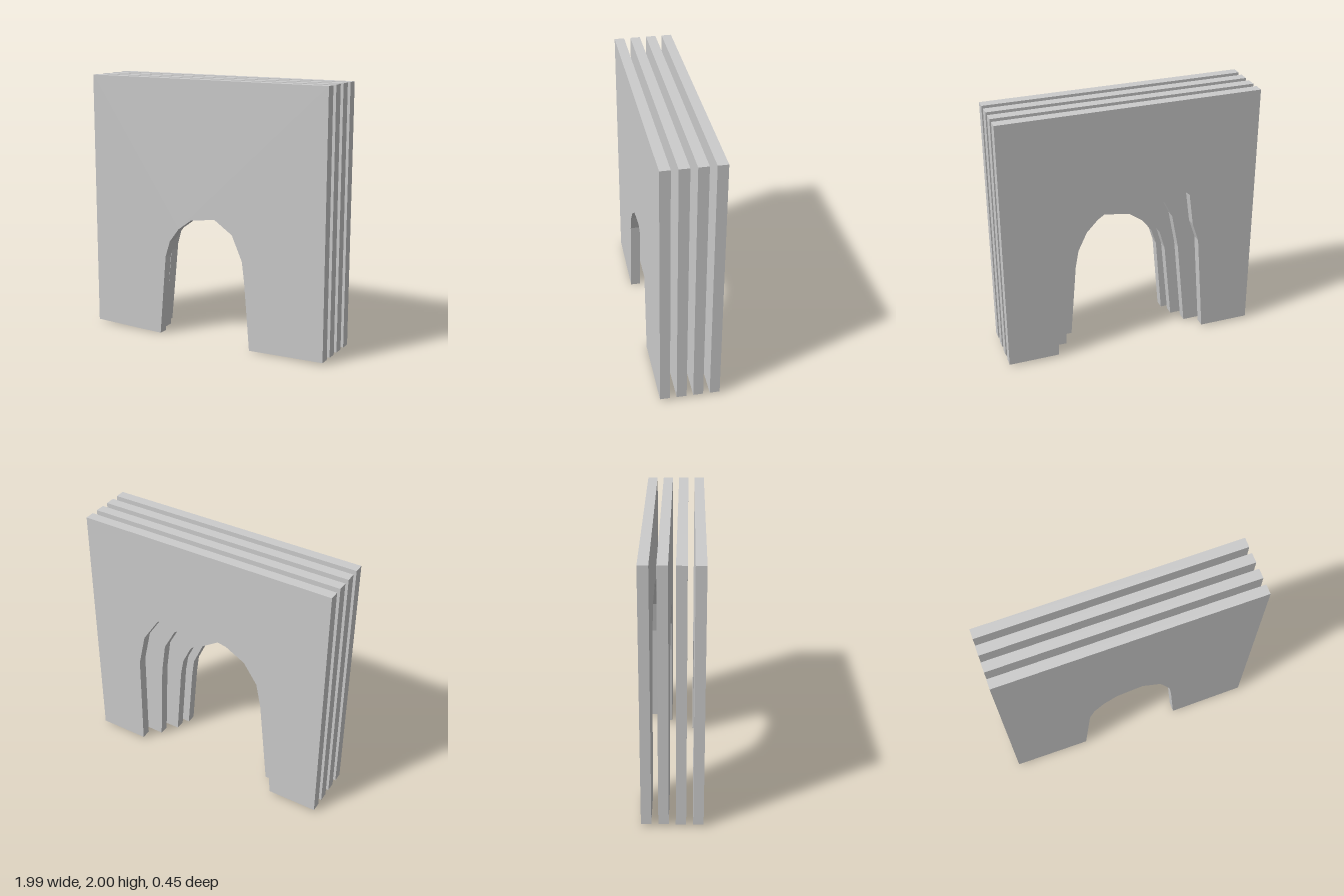
import * as THREE from 'three';

const THICKNESS = 0.075;

// Bottom and arch outline of each slab, from its right (-x) leg to its left (+x) leg
const SLABS = [
  { name: 'frontSlab', z: 0.15, lower: [
    [-0.6, 0.007], [-0.4, 0.003], [-0.345, 0.63], [-0.305, 0.755], [-0.225, 0.86], [-0.115, 0.94],
    [0.09, 0.97], [0.24, 0.87], [0.325, 0.68], [0.345, 0.53], [0.39, 0], [0.6, 0.007]] },
  { name: 'secondSlab', z: 0.025, lower: [
    [-0.435, 0.012], [-0.37, 0.65], [-0.325, 0.8], [-0.21, 0.97], [-0.05, 1.06],
    [0.105, 1.09], [0.275, 0.91], [0.345, 0.76], [0.37, 0.62], [0.42, 0.012]] },
  { name: 'thirdSlab', z: -0.1, lower: [
    [-0.5, 0.015], [-0.43, 0.72], [-0.375, 1], [-0.31, 1.13], [-0.132, 1.245],
    [0.157, 1.258], [0.335, 1.13], [0.43, 0.95], [0.465, 0.7], [0.5, 0.015]] },
  { name: 'backSlab', z: -0.225, lower: [
    [-0.605, 0.018], [-0.545, 0.82], [-0.495, 0.97], [-0.46, 1.23], [-0.23, 1.427],
    [0.2, 1.425], [0.4, 1.28], [0.53, 1.08], [0.588, 0.815], [0.597, 0.018]] },
];

// Square panel with an arched doorway cut up from its lower edge
function makeSlab({ name, z, lower }, material) {
  const outline = [[-0.995, 0.018], ...lower, [0.99, 0.018], [0.99, 2], [-0.995, 2]];
  const shape = new THREE.Shape(outline.map(([x, y]) => new THREE.Vector2(x, y)));
  const geometry = new THREE.ExtrudeGeometry(shape, { depth: THICKNESS, bevelEnabled: false });
  const slab = new THREE.Mesh(geometry, material);
  slab.name = name;
  slab.position.z = z;
  return slab;
}

export function createModel() {
  const group = new THREE.Group();
  group.name = 'layeredArch';
  const material = new THREE.MeshStandardMaterial({ color: 0xcccccc, flatShading: true });

  // Four parallel slabs whose openings widen towards the back
  for (const slab of SLABS) group.add(makeSlab(slab, material));
  return group;
}
